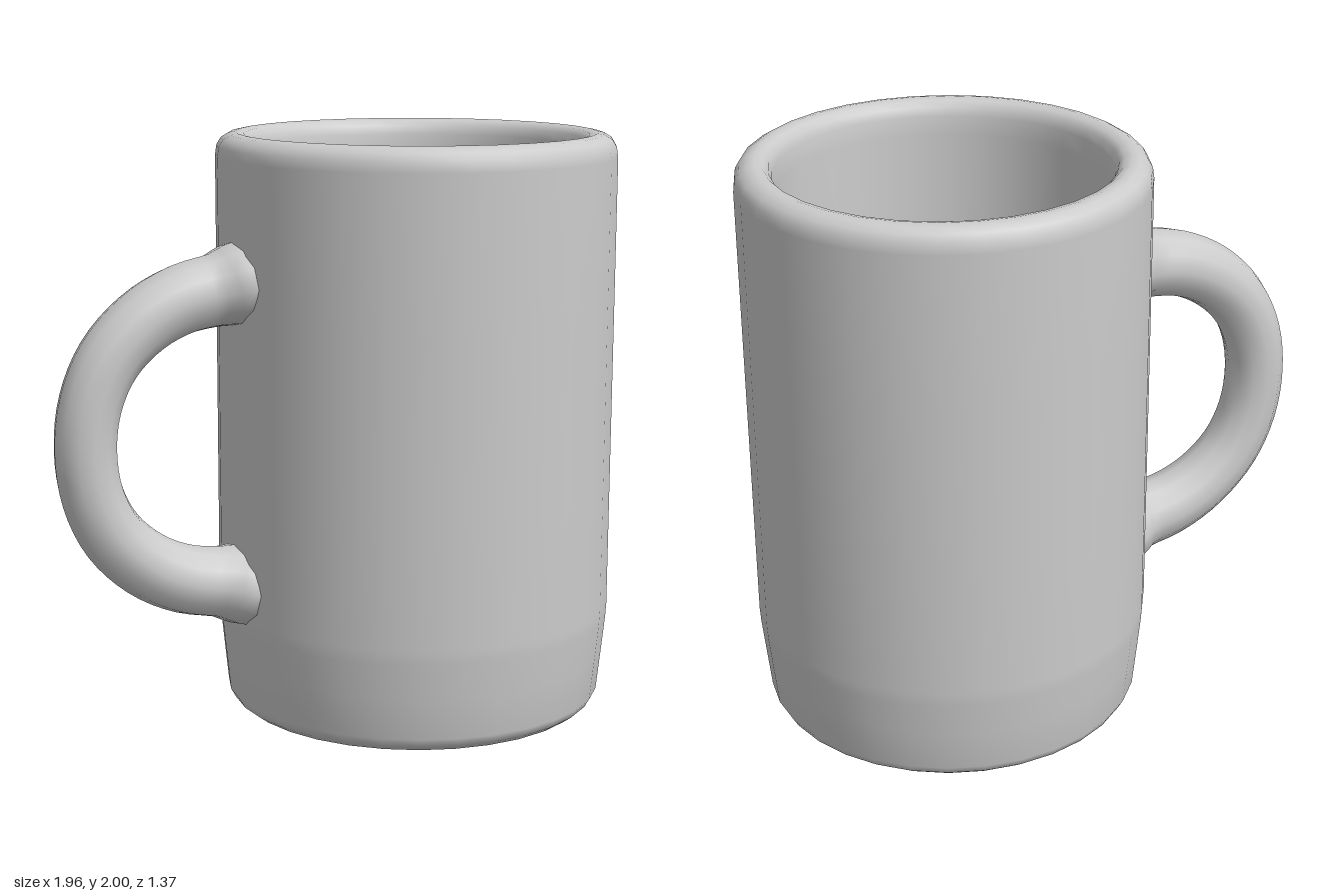
import * as THREE from 'three';

const CUP_X = 0.295;          // cup axis, offset so cup and handle are centred together
const HANDLE_ANGLE = 0.232;   // handle swings slightly towards the front

const material = new THREE.MeshStandardMaterial({ color: 0xcccccc });

// Outer wall, rounded rim, inner wall and floor in one turned profile
function createCup() {
  const profile = [
    [0, 0], [0.58, 0], [0.61, 0.004], [0.638, 0.025], [0.655, 0.055],
    [0.67, 0.2], [0.682, 0.32], [0.685, 0.37], [0.685, 0.8], [0.685, 1.4],
    [0.685, 1.92], [0.68, 1.955], [0.665, 1.98], [0.64, 1.995], [0.615, 2],
    [0.588, 1.993], [0.57, 1.975], [0.56, 1.945], [0.555, 1.88], [0.55, 1.4],
    [0.545, 0.8], [0.54, 0.38], [0.525, 0.27], [0.48, 0.19], [0.4, 0.145],
    [0.25, 0.13], [0, 0.125],
  ].map(([r, y]) => new THREE.Vector2(r, y));
  const cup = new THREE.Mesh(new THREE.LatheGeometry(profile, 32), material);
  cup.name = 'cup';
  return cup;
}

// C-shaped handle: elliptical rings swept along a curve, flared where it meets the wall
function createHandle() {
  const rings = 44, sides = 12;
  const upper = [[0.63, 0.525], [0.714, 0.505], [0.868, 0.475], [1.0, 0.41], [1.115, 0.3], [1.183, 0.16]];
  const path = [
    ...upper.map(([r, h]) => new THREE.Vector3(-r, 1 + h, 0)),
    new THREE.Vector3(-1.205, 1, 0),
    ...upper.slice().reverse().map(([r, h]) => new THREE.Vector3(-r, 1 - h, 0)),
  ];
  const curve = new THREE.CatmullRomCurve3(path);

  const positions = [], indices = [];
  for (let i = 0; i <= rings; i++) {
    const c = curve.getPointAt(i / rings);
    const t = curve.getTangentAt(i / rings);
    const reach = -c.x;
    const radius = THREE.MathUtils.mapLinear(Math.max(reach, 0.8), 0.8, 1.205, 0.121, 0.105);
    const flare = 1 - THREE.MathUtils.smoothstep(reach, 0.66, 0.77);
    const tall = radius + 0.018 * flare;
    const wide = radius + 0.055 * flare;
    for (let j = 0; j < sides; j++) {
      const a = (j / sides) * Math.PI * 2;
      const n = Math.cos(a) * tall;
      positions.push(c.x - t.y * n, c.y + t.x * n, Math.sin(a) * wide);
      if (i < rings) {
        const p = i * sides + j, q = i * sides + (j + 1) % sides;
        indices.push(p, q, p + sides, q, q + sides, p + sides);
      }
    }
  }
  const geometry = new THREE.BufferGeometry();
  geometry.setAttribute('position', new THREE.Float32BufferAttribute(positions, 3));
  geometry.setIndex(indices);
  geometry.computeVertexNormals();
  const handle = new THREE.Mesh(geometry, material);
  handle.name = 'handle';
  handle.rotation.y = HANDLE_ANGLE;
  return handle;
}

export function createModel() {
  const mug = new THREE.Group();
  mug.name = 'mug';
  const cup = createCup(), handle = createHandle();
  cup.position.x = handle.position.x = CUP_X;
  mug.add(cup, handle);
  return mug;
}
